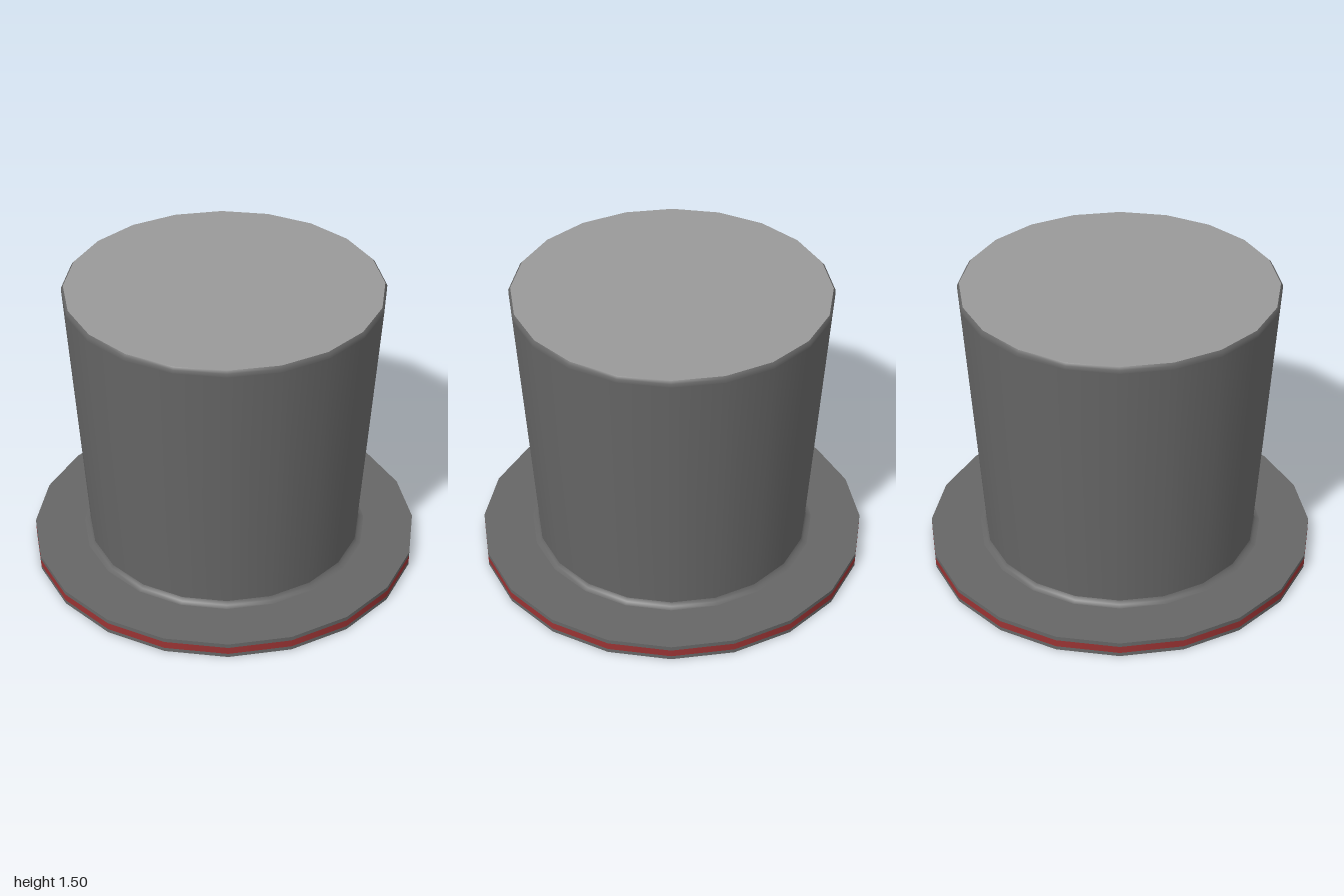
import * as THREE from 'three';

const SIDES = 20;
const felt = new THREE.MeshStandardMaterial({ color: 0x666666, side: THREE.DoubleSide });
const lid = new THREE.MeshStandardMaterial({ color: 0x999999, side: THREE.DoubleSide });
const red = new THREE.MeshStandardMaterial({ color: 0x993333, side: THREE.DoubleSide });

// Revolve a short [radius, height] profile; separate bands keep their edges sharp.
function band(name, profile, material) {
  const points = profile.map(([r, y]) => new THREE.Vector2(r, y));
  const mesh = new THREE.Mesh(new THREE.LatheGeometry(points, SIDES), material);
  mesh.name = name;
  return mesh;
}

export function createModel() {
  const hat = new THREE.Group();
  hat.name = 'topHat';

  // Brim: flat ring with a red stripe flush in its rim
  const brim = new THREE.Group();
  brim.name = 'brim';
  brim.add(
    band('brimUnderside', [[0.71, 0], [1, 0]], felt),
    band('brimLowerEdge', [[1, 0], [1, 0.02]], felt),
    band('brimStripe', [[1, 0.02], [1, 0.058]], red),
    band('brimUpperEdge', [[1, 0.058], [1, 0.08]], felt),
    band('brimTop', [[1, 0.08], [0.74, 0.08]], felt),
  );

  // Crown: flared wall with a fillet at the brim and a small rounded upper edge
  const crown = new THREE.Group();
  crown.name = 'crown';
  crown.add(
    band('crownFillet', [[0.74, 0.08], [0.718, 0.086], [0.709, 0.105]], felt),
    band('crownWall', [[0.709, 0.105], [0.79, 1.47]], felt),
    band('crownUpperEdge', [[0.79, 1.47], [0.79, 1.488], [0.78, 1.5]], felt),
    band('crownTop', [[0.78, 1.5], [0, 1.5]], lid),
  );

  // Hollow interior, facing inwards
  const lining = new THREE.Group();
  lining.name = 'lining';
  lining.add(
    band('liningCeiling', [[0, 1.485], [0.775, 1.485]], felt),
    band('liningWall', [[0.775, 1.485], [0.7, 0.08]], felt),
    band('openingEdge', [[0.7, 0.08], [0.71, 0]], felt),
  );

  hat.add(brim, crown, lining);
  return hat;
}
